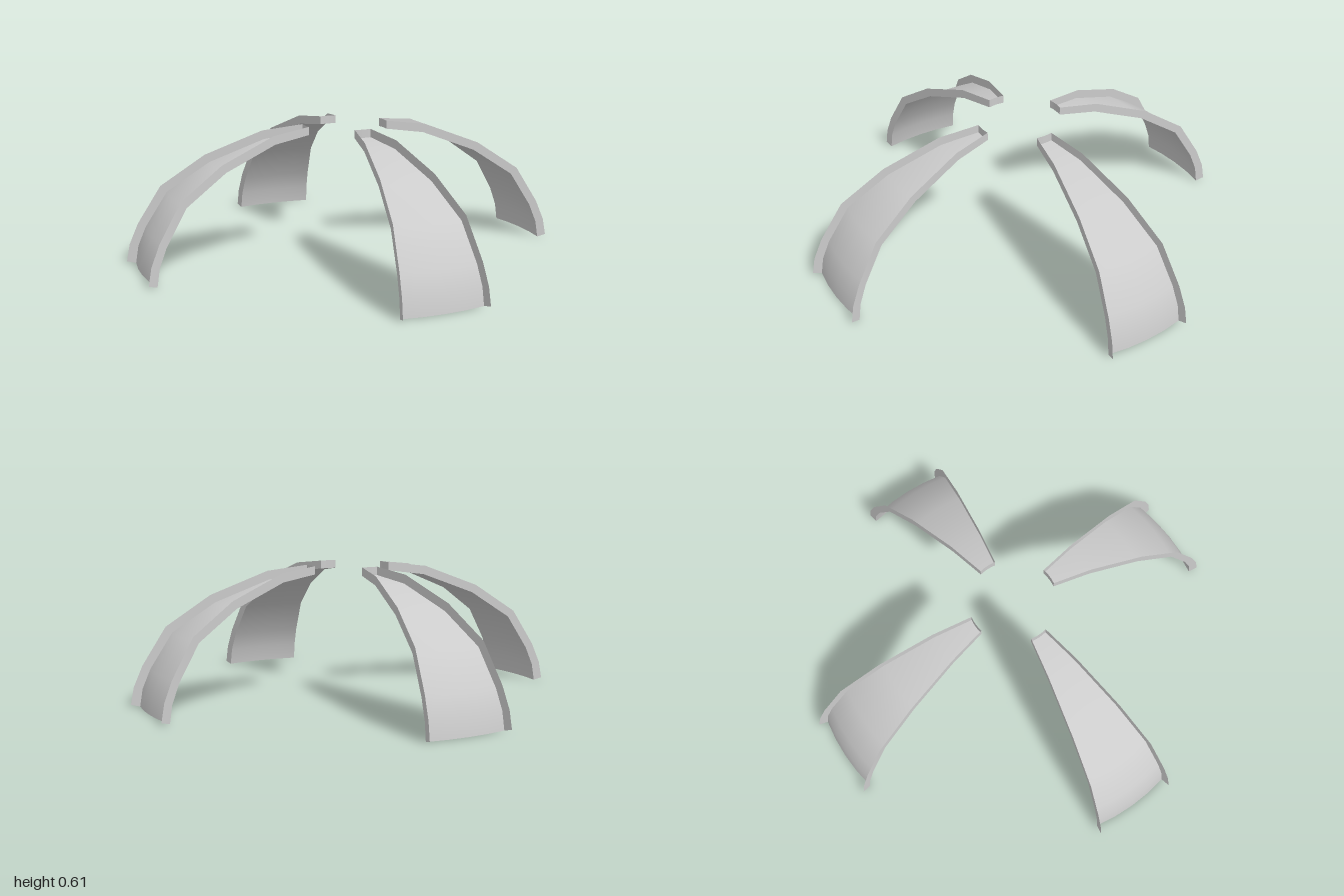
import * as THREE from 'three';

const HALF = Math.PI / 16; // half of the angle one panel spans
const COS = Math.cos(HALF);

// Dome profiles from crown to foot: [distance along the panel axis, height]
const toRadial = (pts) => pts.map(([d, y]) => new THREE.Vector2(d / COS, y));
const inner = toRadial([
  [0.196, 0.575], [0.372, 0.551], [0.62, 0.455], [0.812, 0.327],
  [0.911, 0.168], [0.947, 0.08], [0.96, 0],
]);
const outer = toRadial([
  [0.196, 0.613], [0.38, 0.591], [0.64, 0.49], [0.84, 0.355],
  [0.945, 0.185], [0.985, 0.09], [1.0, 0.01],
]);

export function createModel() {
  const model = new THREE.Group();
  model.name = 'domePanels';
  const material = new THREE.MeshStandardMaterial({ color: 0xcccccc, side: THREE.DoubleSide });

  // Curved skin of a panel and the short rim closing its crown end
  const skinGeo = new THREE.LatheGeometry(inner, 4, -HALF, 2 * HALF);
  const rimGeo = new THREE.LatheGeometry([inner[0], outer[0]], 4, -HALF, 2 * HALF);
  // Flat flange standing outward along each side edge
  const flangeGeo = new THREE.ShapeGeometry(new THREE.Shape([...inner, ...[...outer].reverse()]));

  const addMesh = (parent, name, geometry) => {
    const mesh = new THREE.Mesh(geometry, material);
    mesh.name = name;
    parent.add(mesh);
    return mesh;
  };

  ['front', 'left', 'back', 'right'].forEach((side, i) => {
    const panel = new THREE.Group();
    panel.name = side + 'Panel';
    addMesh(panel, 'skin', skinGeo);
    addMesh(panel, 'crownRim', rimGeo);
    for (const s of [-1, 1]) {
      const flange = addMesh(panel, s > 0 ? 'leftFlange' : 'rightFlange', flangeGeo);
      flange.rotation.y = s * HALF - Math.PI / 2;
    }
    panel.rotation.y = (i * Math.PI) / 2;
    model.add(panel);
  });
  return model;
}
